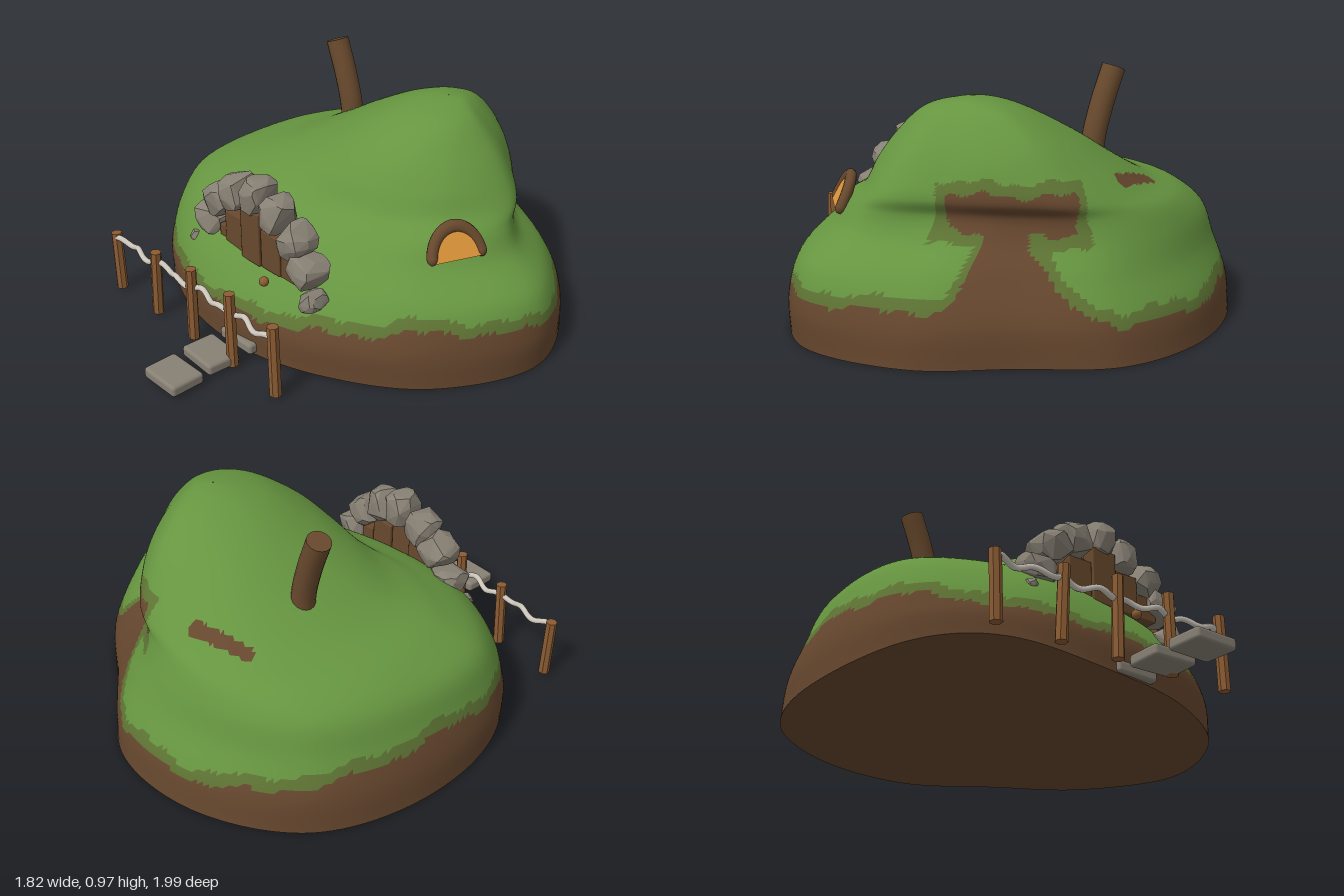
import * as THREE from 'three';
import { RoundedBoxGeometry } from 'three/addons/geometries/RoundedBoxGeometry.js';
import { ConvexGeometry } from 'three/addons/geometries/ConvexGeometry.js';

const mat = (name, color) => {
  const m = new THREE.MeshStandardMaterial({ color });
  m.name = name;
  return m;
};

function seeded(seed) {
  return () => {
    seed = (seed * 16807) % 2147483647;
    return seed / 2147483647;
  };
}

// Hill contours: height, centre x, centre z, then radii every 30 degrees from +x towards +z
const LEVELS = [
  [0, 0, -0.2, [0.9, 0.84, 0.775, 0.79, 0.87, 0.94, 0.91, 0.905, 0.845, 0.785, 0.69, 0.79]],
  [0.15, 0, -0.2, [0.905, 0.835, 0.77, 0.78, 0.865, 0.94, 0.9, 0.89, 0.825, 0.765, 0.68, 0.775]],
  [0.3, 0, -0.2, [0.86, 0.78, 0.69, 0.7, 0.81, 0.905, 0.855, 0.835, 0.755, 0.695, 0.61, 0.7]],
  [0.42, -0.03, -0.22, [0.74, 0.7, 0.61, 0.62, 0.71, 0.825, 0.775, 0.755, 0.685, 0.625, 0.535, 0.58]],
  [0.5, 0, -0.25, [0.66, 0.635, 0.54, 0.49, 0.58, 0.71, 0.7, 0.675, 0.625, 0.56, 0.475, 0.5]],
  [0.56, 0.08, -0.3, [0.55, 0.525, 0.49, 0.475, 0.525, 0.6, 0.59, 0.575, 0.535, 0.49, 0.42, 0.43]],
  [0.65, 0.12, -0.32, [0.45, 0.455, 0.44, 0.435, 0.445, 0.465, 0.455, 0.455, 0.435, 0.41, 0.36, 0.36]],
  [0.75, 0.16, -0.325, [0.335, 0.35, 0.355, 0.35, 0.335, 0.325, 0.325, 0.335, 0.33, 0.325, 0.28, 0.275]],
  [0.85, 0.2, -0.32, [0.195, 0.21, 0.21, 0.195, 0.185, 0.175, 0.175, 0.18, 0.195, 0.205, 0.175, 0.165]],
  [0.888, 0.225, -0.335, Array(12).fill(0.085)],
  [0.9, 0.24, -0.34, Array(12).fill(0.002)],
];
// Height of the bare soil around the foot, every 30 degrees
const SOIL = [0.19, 0.24, 0.19, 0.155, 0.17, 0.24, 0.255, 0.2, 0.14, 0.15, 0.27, 0.2];

// Positive on bare soil, negative on grass
function soilAmount(p) {
  const a = (Math.atan2(p.z + 0.2, p.x) + Math.PI * 2) % (Math.PI * 2);
  const k = (a / Math.PI) * 6, i = Math.floor(k) % 12;
  const rim = THREE.MathUtils.lerp(SOIL[i], SOIL[(i + 1) % 12], k - Math.floor(k));
  const wobble = 0.01 * Math.sin(13 * a) + 0.007 * Math.sin(31 * a + p.y * 25);
  const off = Math.abs(a - 5.27) * 0.6;
  const gully = Math.min(0.09 + Math.max(0, 0.4 - p.y) * 0.5 - off, 0.58 - p.y);
  const gullyTop = Math.min(0.072 - Math.abs(p.y - 0.52), 0.26 - off);
  return Math.max(rim - p.y, gully, gullyTop) + wobble;
}

function buildHill(materials) {
  const COLS = 200, ROWS = 80;
  const rings = LEVELS.map(([y, cx, cz, radii]) => {
    const pts = radii.map((r, k) => {
      const a = (k * Math.PI) / 6;
      return new THREE.Vector3(cx + r * Math.cos(a), y, cz + r * Math.sin(a));
    });
    return new THREE.CatmullRomCurve3(pts, true);
  });
  const pts = [];
  for (let j = 0; j < COLS; j++) {
    const column = new THREE.CatmullRomCurve3(rings.map((c) => c.getPoint(j / COLS)));
    // The foot is hollowed at the front left
    const lift = 0.07 * Math.exp(-((((j / COLS) * Math.PI * 2 - 2.3) / 0.42) ** 2));
    for (let i = 0; i <= ROWS; i++) {
      const p = column.getPoint(i / ROWS);
      p.y = Math.max(0, p.y) + lift * Math.max(0, 1 - p.y / 0.2);
      pts.push(p);
    }
  }
  const faces = [[], [], []];
  const scar = new THREE.Line3(new THREE.Vector3(-0.37, 0, -0.63), new THREE.Vector3(-0.17, 0, -0.72));
  const near = new THREE.Vector3();
  const add = (a, b, c) => {
    const m = pts[a].clone().add(pts[b]).add(pts[c]).divideScalar(3);
    const s = soilAmount(m);
    const flat = new THREE.Vector3(m.x, 0, m.z);
    const scarred = scar.closestPointToPoint(flat, true, near).distanceTo(flat) < 0.024;
    faces[s > 0 || scarred ? 2 : s > -0.045 ? 1 : 0].push(a, b, c);
  };
  const id = (j, i) => (j % COLS) * (ROWS + 1) + i;
  for (let j = 0; j < COLS; j++) {
    for (let i = 0; i < ROWS; i++) {
      add(id(j, i), id(j, i + 1), id(j + 1, i));
      add(id(j + 1, i), id(j, i + 1), id(j + 1, i + 1));
    }
  }
  const geo = new THREE.BufferGeometry().setFromPoints(pts);
  geo.setIndex(faces.flat());
  let start = 0;
  faces.forEach((f, k) => {
    geo.addGroup(start, f.length, k);
    start += f.length;
  });
  geo.computeVertexNormals();
  // Underside fan
  const rim = Array.from({ length: COLS }, (_, j) => pts[id(j, 0)]);
  const base = new THREE.BufferGeometry().setFromPoints([new THREE.Vector3(0, 0, -0.2), ...rim]);
  base.setIndex(rim.flatMap((_, j) => [0, 1 + j, 1 + ((j + 1) % COLS)]));
  base.computeVertexNormals();
  return [new THREE.Mesh(geo, materials), base];
}

// Chipped, roughly boxy rock
function rock(w, h, d, seed) {
  const rnd = seeded(seed), pts = [];
  for (let i = 0; i < 44; i++) {
    const v = new THREE.Vector3(rnd() - 0.5, rnd() - 0.5, rnd() - 0.5).normalize();
    const n = Math.pow(v.x ** 4 + v.y ** 4 + v.z ** 4, 0.25);
    pts.push(v.multiplyScalar((0.5 + rnd() * 0.05) / n).multiply(new THREE.Vector3(w, h, d)));
  }
  return new ConvexGeometry(pts);
}

export function createModel() {
  const group = new THREE.Group();
  group.name = 'hillHouse';
  const grass = mat('grass', 0x669540), moss = mat('mossyEdge', 0x5e7434), soil = mat('soil', 0x66472e);
  const stone = mat('stone', 0x878074), wood = mat('darkWood', 0x68492d), post = mat('postWood', 0x8c5c33);
  const ropeMat = mat('rope', 0xcdc6bb), glow = mat('windowGlow', 0xe0973a);
  const add = (name, geo, material, x = 0, y = 0, z = 0, parent = group) => {
    const m = new THREE.Mesh(geo, material);
    m.name = name;
    m.position.set(x, y, z);
    parent.add(m);
    return m;
  };

  // Hill
  const [hill, base] = buildHill([grass, moss, soil]);
  hill.name = 'hill';
  group.add(hill);
  add('hillUnderside', base, soil);

  // Bent chimney
  const bend = new THREE.CatmullRomCurve3([[-0.32, 0.5], [-0.325, 0.67], [-0.362, 0.81], [-0.418, 0.957]]
    .map(([x, y]) => new THREE.Vector3(x, y, -0.335)));
  add('chimney', new THREE.TubeGeometry(bend, 16, 0.048, 16), wood);
  const cap = add('chimneyTop', new THREE.CircleGeometry(0.048, 16), wood);
  cap.position.copy(bend.getPoint(1));
  cap.lookAt(cap.position.clone().add(bend.getTangent(1)));

  // Door planks: centre x, width, top, front z
  [[-0.22, 0.05, 0.42, 0.468], [-0.145, 0.108, 0.5, 0.474], [-0.034, 0.112, 0.565, 0.482],
    [0.08, 0.112, 0.5, 0.474], [0.185, 0.098, 0.435, 0.468]].forEach(([x, w, top, z]) => {
    add('doorPlank', new RoundedBoxGeometry(w, top - 0.335, 0.06, 1, 0.005), wood, x, (top + 0.335) / 2, z - 0.03);
  });
  add('doorKnob', new THREE.SphereGeometry(0.02, 16, 12), post, 0.09, 0.315, 0.515);

  // Stone arch: x, y, width, height, depth, z, turn
  [[-0.325, 0.41, 0.14, 0.11, 0.14, 0.43, -0.1], [-0.26, 0.52, 0.14, 0.13, 0.14, 0.43, 0.6],
    [-0.16, 0.585, 0.12, 0.14, 0.14, 0.43, 0.3], [-0.032, 0.62, 0.115, 0.14, 0.14, 0.43, 0],
    [0.088, 0.585, 0.12, 0.14, 0.14, 0.43, -0.35], [0.19, 0.51, 0.13, 0.13, 0.14, 0.43, -0.7],
    [0.255, 0.41, 0.14, 0.11, 0.14, 0.43, -0.4], [0.295, 0.295, 0.1, 0.08, 0.1, 0.445, 0.4],
    [-0.385, 0.315, 0.05, 0.04, 0.05, 0.485, 0.3],
  ].forEach(([x, y, w, h, d, z, turn], i) => {
    add('archStone', rock(w, h, d, 911 + i * 7717), stone, x, y, z).rotation.z = turn;
  });

  // Half-round window set into the slope
  const win = new THREE.Group();
  win.name = 'window';
  win.position.set(0.63, 0.45, 0.01);
  win.rotation.set(-0.45, 1.2, 0, 'YXZ');
  win.scale.y = 1.22;
  group.add(win);
  const frame = add('windowFrame', new THREE.TorusGeometry(0.104, 0.022, 10, 32, Math.PI - 0.3), wood, 0, 0, 0.012, win);
  frame.rotation.z = 0.15;
  [0.15, Math.PI - 0.15].forEach((a) => add('frameEnd', new THREE.SphereGeometry(0.022, 12, 8), wood,
    0.104 * Math.cos(a), 0.104 * Math.sin(a), 0.012, win));
  const pane = new THREE.Shape();
  pane.absarc(0, 0, 0.098, 0, Math.PI);
  add('windowPane', new THREE.ExtrudeGeometry(pane, { depth: 0.009, bevelEnabled: false, curveSegments: 24 }),
    glow, 0, -0.002, 0.016, win);

  // Fence posts: x, top, lean
  [[-0.682, 0.275, 0.03], [-0.402, 0.305, -0.05], [-0.155, 0.335, -0.02], [0.095, 0.335, 0.01], [0.355, 0.315, 0.02]]
    .forEach(([x, top, lean], i) => {
      const geo = new THREE.CylinderGeometry(0.023, 0.024, top - 0.01, 7).toNonIndexed();
      geo.computeVertexNormals();
      const p = add('fencePost', geo, post, x, top / 2 + 0.005, 0.688);
      p.rotation.set(0, i, lean, 'ZYX');
    });

  // Wavy rope
  const wave = Array.from({ length: 61 }, (_, i) => {
    const x = -0.68 + (1.02 * i) / 60;
    return new THREE.Vector3(x, 0.25 + 0.009 * Math.sin(x * 45), 0.685 + 0.012 * Math.sin(x * 26 + 1));
  });
  add('rope', new THREE.TubeGeometry(new THREE.CatmullRomCurve3(wave), 140, 0.012, 8), ropeMat);

  // Stepping stones
  [[0.025, 0.917, 0.02], [0.012, 0.73, -0.04], [0.005, 0.535, 0.02]].forEach(([x, z, turn]) => {
    add('steppingStone', new RoundedBoxGeometry(0.19, 0.048, 0.148, 2, 0.014), stone, x, 0.034, z).rotation.y = turn;
  });
  return group;
}
